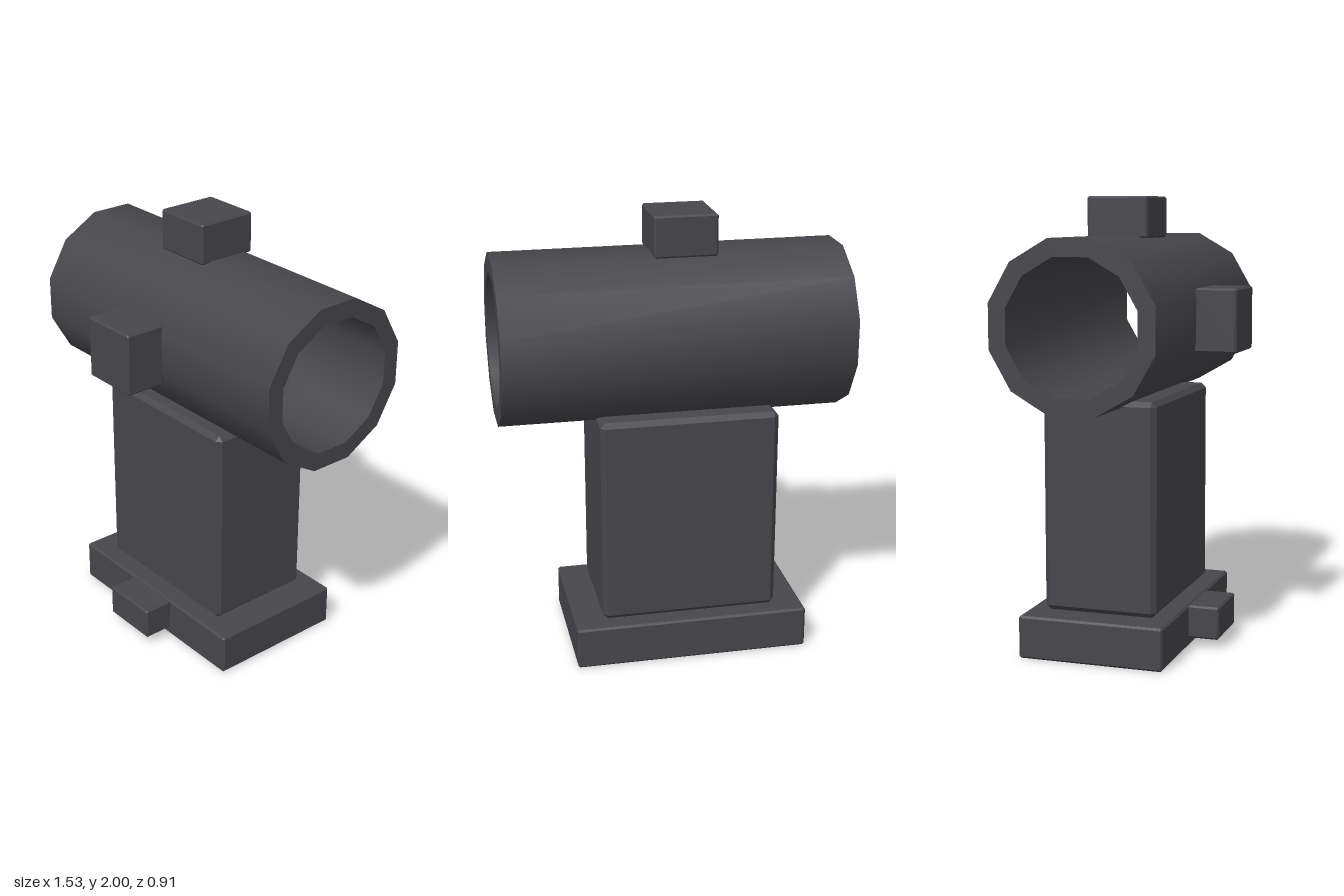
import * as THREE from 'three';
import { toCreasedNormals } from 'three/addons/utils/BufferGeometryUtils.js';
import { ConvexGeometry } from 'three/addons/geometries/ConvexGeometry.js';

// Box between two corners with every edge chamfered by c
function chamferBox([x0, y0, z0], [x1, y1, z1], c) {
  const half = [(x1 - x0) / 2, (y1 - y0) / 2, (z1 - z0) / 2];
  const points = [];
  for (const sx of [-1, 1]) for (const sy of [-1, 1]) for (const sz of [-1, 1]) {
    for (let axis = 0; axis < 3; axis++) {
      const p = half.map((h, i) => (i === axis ? h : h - c));
      points.push(new THREE.Vector3(sx * p[0], sy * p[1], sz * p[2]));
    }
  }
  return new ConvexGeometry(points).translate((x0 + x1) / 2, (y0 + y1) / 2, (z0 + z1) / 2);
}

// Regular 12-gon with flats facing the axes
function ring(apothem) {
  const r = apothem / Math.cos(Math.PI / 12);
  return Array.from({ length: 12 }, (_, i) => {
    const a = (i + 0.5) * Math.PI / 6;
    return new THREE.Vector2(r * Math.cos(a), r * Math.sin(a));
  });
}

export function createModel() {
  const group = new THREE.Group();
  const darkGrey = new THREE.MeshStandardMaterial({ color: 0x47464b });
  darkGrey.name = 'darkGrey';

  const add = (name, geometry) => {
    const mesh = new THREE.Mesh(geometry, darkGrey);
    mesh.name = name;
    group.add(mesh);
  };

  // Stand
  add('base', chamferBox([-0.588, 0, -0.415], [0.465, 0.19, 0.242], 0.009));
  add('column', chamferBox([-0.459, 0.19, -0.344], [0.336, 1.132, 0.17], 0.022));

  // Hollow tube lying along x
  const shape = new THREE.Shape(ring(0.363));
  shape.holes.push(new THREE.Path(ring(0.287)));
  const tube = new THREE.ExtrudeGeometry(shape, { depth: 1.527, bevelEnabled: false });
  tube.rotateY(Math.PI / 2).translate(-0.766, 1.464, -0.091);
  add('tube', toCreasedNormals(tube, 0.7));

  // Adjustment knobs
  add('topKnob', chamferBox([-0.2, 1.818, -0.23], [0.078, 2, 0.05], 0.008));
  add('frontKnob', chamferBox([-0.2, 1.325, 0.265], [0.078, 1.605, 0.453], 0.008));
  add('baseKnob', chamferBox([-0.2, 0.042, 0.238], [0.078, 0.19, 0.382], 0.008));

  return group;
}
